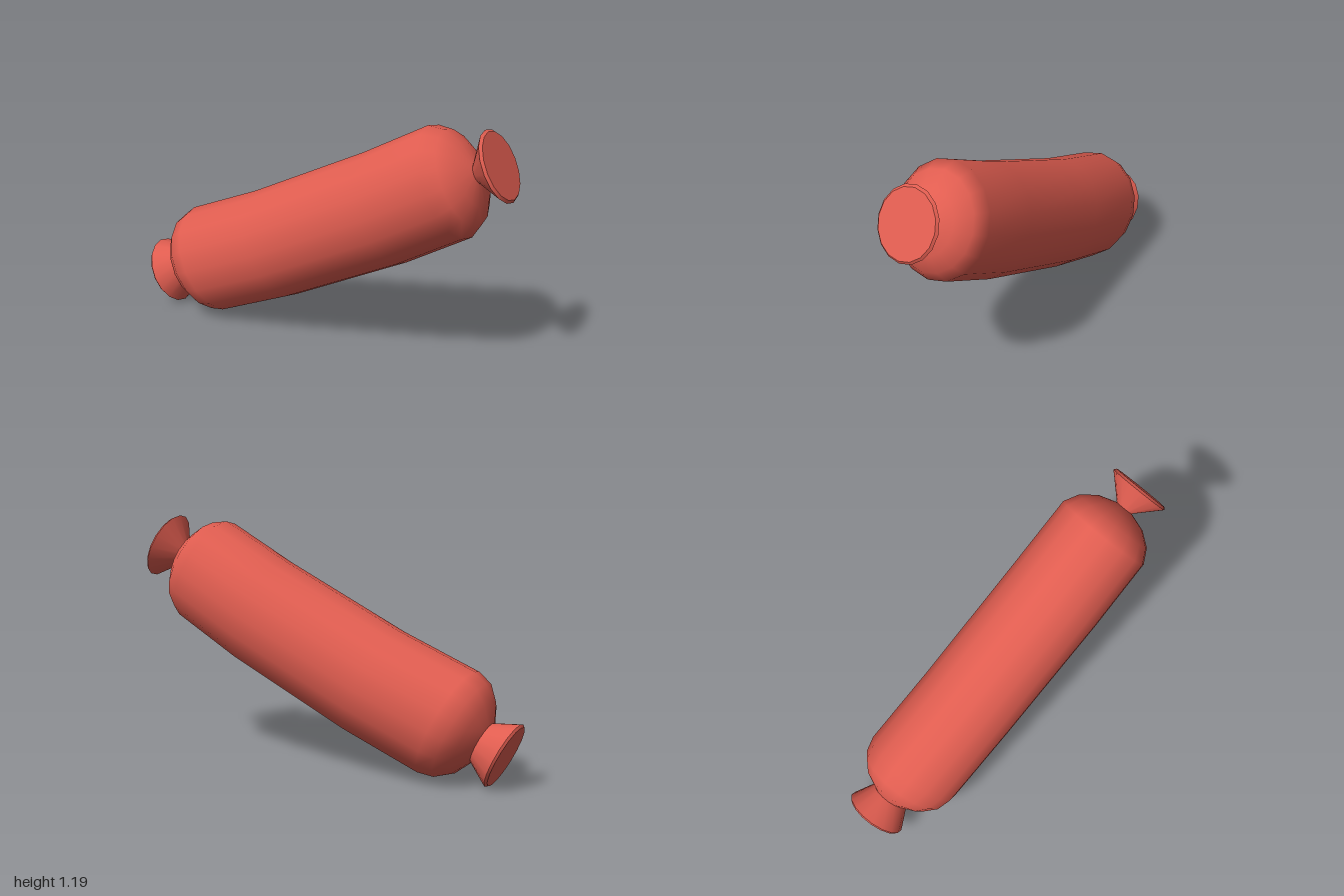
import * as THREE from 'three';

const SIDES = 16;
const FLATTEN = 0.89; // depth relative to height of each ring
const TILT = Math.atan2(0.44, 0.9);
const UP = new THREE.Vector3(-Math.sin(TILT), Math.cos(TILT), 0);

// Points of one tilted oval ring: [centre x, centre y, radius]
function ringPoints([x, y, r]) {
  const points = [];
  for (let j = 0; j < SIDES; j++) {
    const a = (j / SIDES) * Math.PI * 2;
    points.push(x + UP.x * r * Math.cos(a), y + UP.y * r * Math.cos(a), FLATTEN * r * Math.sin(a));
  }
  return points;
}

// Smooth skin through rings listed from left to right
function loft(rings) {
  const index = [];
  for (let i = 0; i < rings.length - 1; i++) {
    for (let j = 0; j < SIDES; j++) {
      const k = (j + 1) % SIDES;
      const a = i * SIDES + j, b = i * SIDES + k;
      index.push(a, b, a + SIDES, b, b + SIDES, a + SIDES);
    }
  }
  return finish(rings.flatMap(ringPoints), index);
}

// Flat oval closing a ring, facing right (+1) or left (-1)
function disc(ring, facing) {
  const index = [];
  for (let j = 0; j < SIDES; j++) {
    const k = (j + 1) % SIDES;
    index.push(SIDES, facing > 0 ? j : k, facing > 0 ? k : j);
  }
  return finish([...ringPoints(ring), ring[0], ring[1], 0], index);
}

function finish(positions, index) {
  const geometry = new THREE.BufferGeometry();
  geometry.setAttribute('position', new THREE.Float32BufferAttribute(positions, 3));
  geometry.setIndex(index);
  geometry.computeVertexNormals();
  return geometry;
}

export function createModel() {
  const model = new THREE.Group();
  model.name = 'sausage';
  const red = new THREE.MeshStandardMaterial({ color: 0xe05d50 });
  red.name = 'sausage red';

  const add = (name, geometry, parent = model) => {
    const mesh = new THREE.Mesh(geometry, red);
    mesh.name = name;
    parent.add(mesh);
  };

  // Gently bent body with rounded ends
  const leftNeck = [-0.817, 0.212, 0.107];
  const rightNeck = [0.822, 0.998, 0.05];
  add('body', loft([
    leftNeck,
    [-0.77, 0.23, 0.2],
    [-0.715, 0.258, 0.257],
    [-0.645, 0.29, 0.279],
    [-0.26, 0.45, 0.278],
    [0.355, 0.75, 0.277],
    [0.685, 0.935, 0.272],
    [0.748, 0.965, 0.229],
    [0.795, 0.987, 0.152],
    rightNeck,
  ]));

  // Flared casing ends, each with a narrow bevelled rim and a flat face
  const leftRim = [-0.922, 0.164, 0.17], leftFace = [-0.932, 0.159, 0.16];
  const leftEnd = new THREE.Group();
  leftEnd.name = 'leftCasingEnd';
  add('leftFlare', loft([leftRim, leftNeck]), leftEnd);
  add('leftRim', loft([leftFace, leftRim]), leftEnd);
  add('leftEndFace', disc(leftFace, -1), leftEnd);

  const rightRim = [0.92, 1.046, 0.172], rightFace = [0.931, 1.051, 0.16];
  const rightEnd = new THREE.Group();
  rightEnd.name = 'rightCasingEnd';
  add('rightFlare', loft([rightNeck, rightRim]), rightEnd);
  add('rightRim', loft([rightRim, rightFace]), rightEnd);
  add('rightEndFace', disc(rightFace, 1), rightEnd);

  model.add(leftEnd, rightEnd);
  return model;
}
